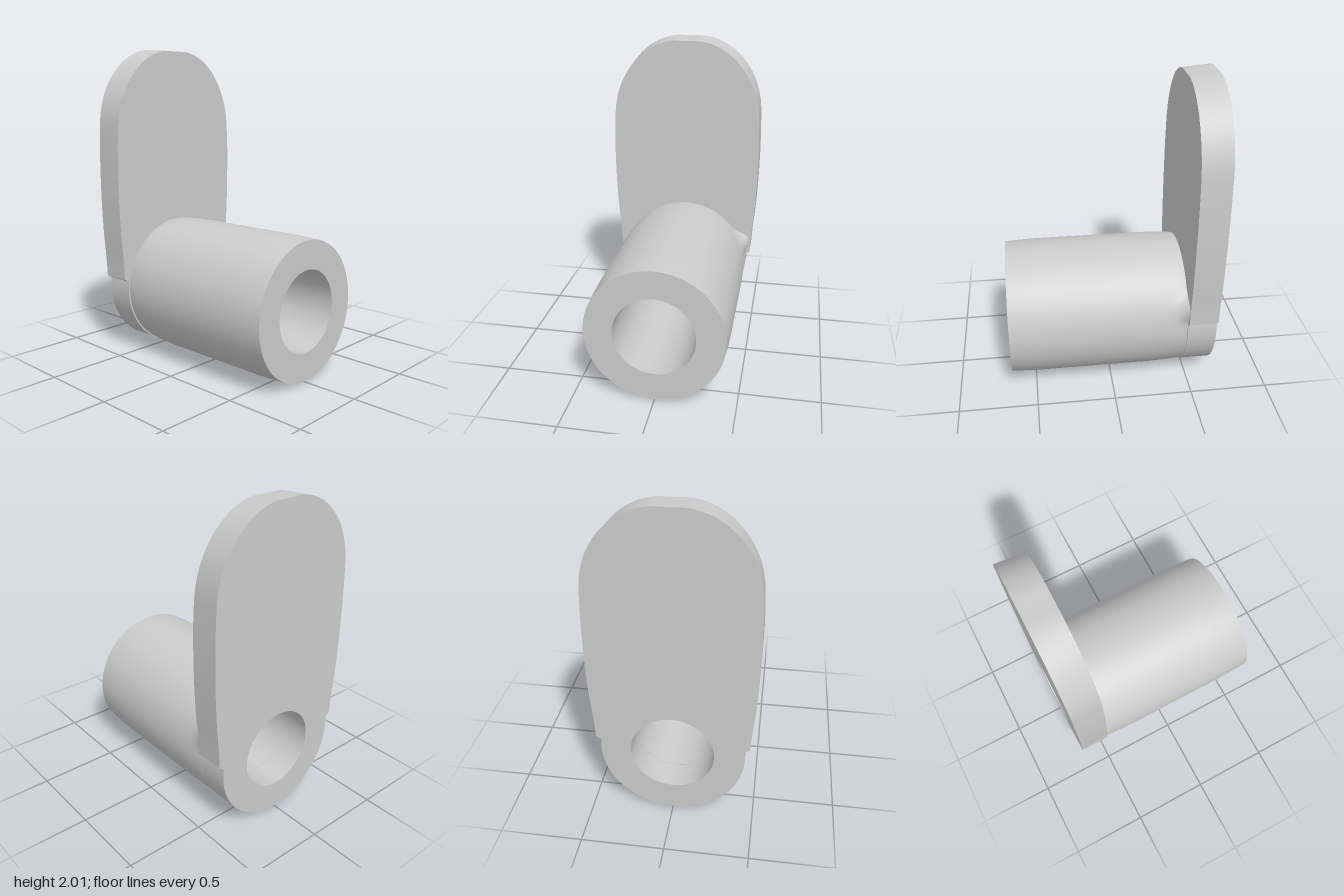
import * as THREE from 'three';
import { toCreasedNormals } from 'three/addons/utils/BufferGeometryUtils.js';

const AXIS_Y = 0.436, BORE = 0.253;
const BACK = -0.655, PLATE_FRONT = -0.47, FRONT = 0.655;
const smoothstep = THREE.MathUtils.smoothstep;

// Upright plate: rounded tab that narrows into the barrel's lower half
function plateGeometry() {
  const side = new THREE.CatmullRomCurve3([
    [0, 2], [0.12, 1.998], [0.25, 1.95], [0.36, 1.86], [0.44, 1.74], [0.485, 1.6],
    [0.499, 1.4], [0.499, 1.05], [0.487, 0.8], [0.473, 0.64], [0.465, 0.51],
  ].map(([x, y]) => new THREE.Vector3(x, y, 0)), false, 'centripetal');
  const half = side.getSpacedPoints(56).map(p => new THREE.Vector2(p.x, p.y));
  for (let i = 0; i <= 32; i++) {
    const a = 0.13 - (i / 32) * (0.13 + Math.PI / 2);
    half.push(new THREE.Vector2(Math.cos(a) * 0.437, AXIS_Y + Math.sin(a) * 0.433));
  }
  const mirrored = half.slice(1, -1).reverse().map(p => new THREE.Vector2(-p.x, p.y));
  const shape = new THREE.Shape([...half, ...mirrored]);
  const hole = new THREE.Path();
  hole.absarc(0, AXIS_Y - 0.003, BORE, 0, Math.PI * 2, true);
  shape.holes.push(hole);

  const depth = PLATE_FRONT - BACK;
  const geo = new THREE.ExtrudeGeometry(shape, { depth, bevelEnabled: false, curveSegments: 48 });
  // The rounded top draws in slightly toward the front face
  const pos = geo.attributes.position;
  for (let i = 0; i < pos.count; i++) {
    const k = smoothstep(pos.getY(i), 1.3, 1.9) * (pos.getZ(i) / depth);
    pos.setX(i, pos.getX(i) * (1 - 0.025 * k));
    pos.setY(i, pos.getY(i) - 0.014 * k);
  }
  geo.translate(0, 0, BACK);
  return toCreasedNormals(geo, 0.6);
}

// Barrel: hollow tube with gently eased ends and a small one-sided fillet at the plate
function barrelGeometry() {
  const profile = [
    [BORE, PLATE_FRONT], [0.426, PLATE_FRONT], [0.429, -0.45], [0.431, -0.43], [0.433, -0.4],
    [0.436, -0.34], [0.439, -0.25], [0.439, 0.45], [0.436, 0.56], [0.431, FRONT],
    [BORE, FRONT], [BORE, PLATE_FRONT],
  ].map(([r, z]) => new THREE.Vector2(r, z));
  const geo = new THREE.LatheGeometry(profile, 96);
  geo.rotateX(Math.PI / 2);
  const pos = geo.attributes.position;
  for (let i = 0; i < pos.count; i++) {
    const x = pos.getX(i), y = pos.getY(i), z = pos.getZ(i);
    const r = Math.hypot(x, y), a = Math.atan2(y, x);
    if (r < 0.4) continue;
    const along = THREE.MathUtils.clamp((-0.36 - z) / 0.11, 0, 1) ** 2;
    const around = smoothstep(a, 0.1, 0.36) * (1 - smoothstep(a, 0.36, 0.65));
    const s = 1 + (0.065 * along * around) / r;
    pos.setXY(i, x * s, y * s);
  }
  geo.translate(0, AXIS_Y - 0.001, 0);
  return toCreasedNormals(geo, 0.6);
}

export function createModel() {
  const group = new THREE.Group();
  const material = new THREE.MeshStandardMaterial({ color: 0xcccccc, side: THREE.DoubleSide });
  const add = (name, geometry) => {
    const mesh = new THREE.Mesh(geometry, material);
    mesh.name = name;
    group.add(mesh);
  };
  add('plate', plateGeometry());
  add('barrel', barrelGeometry());
  return group;
}
